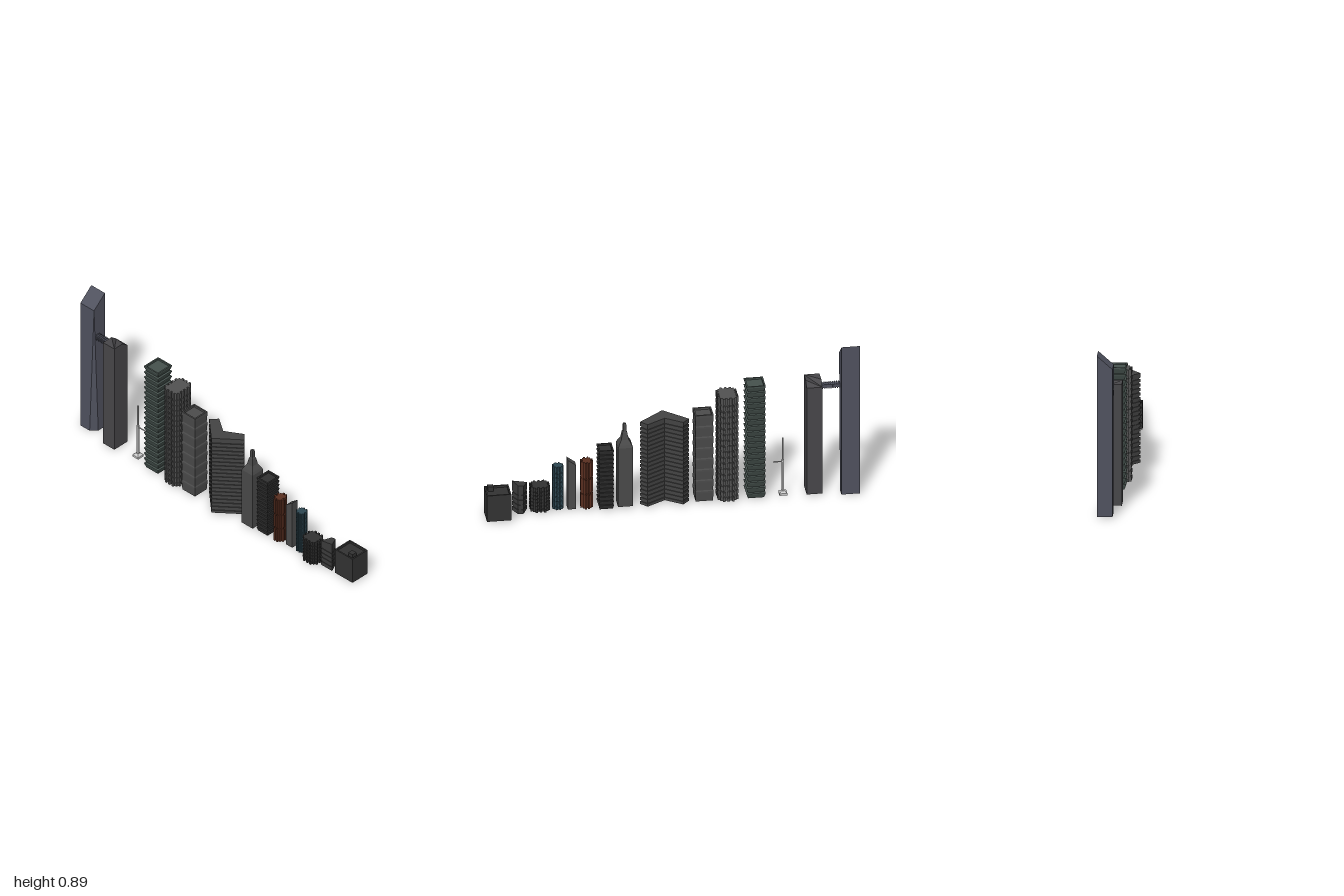
import * as THREE from 'three';
import { ConvexGeometry } from 'three/addons/geometries/ConvexGeometry.js';

// Lofts a plan ([x, z] corners) through rings of [height or height(x, z), inset], flat caps at both ends
function loft(plan, rings) {
  let pts = plan.map(([x, z]) => new THREE.Vector2(x, -z));
  if (THREE.ShapeUtils.isClockWise(pts)) pts = pts.reverse();
  const n = pts.length;
  const normal = (i) => {
    const e = pts[(i + 1) % n].clone().sub(pts[i]).normalize();
    return new THREE.Vector2(-e.y, e.x);
  };
  const miter = pts.map((p, i) => {
    const a = normal((i + n - 1) % n), b = normal(i);
    return a.clone().add(b).divideScalar(1 + a.dot(b));
  });
  const at = ([y, inset], i) => {
    const p = pts[i].clone().addScaledVector(miter[i], inset);
    return [p.x, typeof y === 'function' ? y(p.x, -p.y) : y, -p.y];
  };
  const pos = [];
  for (let k = 0; k + 1 < rings.length; k++) {
    for (let i = 0; i < n; i++) {
      const j = (i + 1) % n;
      const a = at(rings[k], i), b = at(rings[k], j), c = at(rings[k + 1], j), d = at(rings[k + 1], i);
      pos.push(...a, ...b, ...c, ...a, ...c, ...d);
    }
  }
  const last = rings[rings.length - 1];
  for (const [a, b, c] of THREE.ShapeUtils.triangulateShape(pts, [])) {
    pos.push(...at(last, a), ...at(last, b), ...at(last, c));
    pos.push(...at(rings[0], a), ...at(rings[0], c), ...at(rings[0], b));
  }
  const geo = new THREE.BufferGeometry();
  geo.setAttribute('position', new THREE.Float32BufferAttribute(pos, 3));
  geo.computeVertexNormals();
  return geo;
}

const rect = (x0, x1, z0, z1) => [[x0, z0], [x1, z0], [x1, z1], [x0, z1]];

// Rectangle whose sides carry projecting bays
function comb(x0, x1, z0, z1, nx, nz, t) {
  const corners = rect(x0 + t, x1 - t, z0 + t, z1 - t);
  const out = [[0, -1], [1, 0], [0, 1], [-1, 0]];
  const pts = [];
  corners.forEach((a, s) => {
    const b = corners[(s + 1) % 4], m = 2 * (s % 2 ? nz : nx) + 1;
    pts.push(a);
    for (let k = 1; k < m; k++) {
      const x = a[0] + (b[0] - a[0]) * k / m, z = a[1] + (b[1] - a[1]) * k / m;
      const o = [x + out[s][0] * t, z + out[s][1] * t];
      pts.push(...(k % 2 ? [[x, z], o] : [o, [x, z]]));
    }
  });
  return pts;
}

// Floors separated by a recessed joint
function slabs(y0, y1, n, groove, solid = 0.7) {
  const h = (y1 - y0) / n, rings = [];
  for (let k = 0; k < n; k++) {
    const y = y0 + k * h, m = y + h * solid;
    rings.push([y, 0], [m, 0]);
    if (k < n - 1) rings.push([m, groove], [y + h, groove]);
  }
  rings.push([y1, 0]);
  return rings;
}

// Floors that flare outward to a thin edge
function flares(y0, y1, n, g) {
  const h = (y1 - y0) / n, rings = [];
  for (let k = 0; k < n; k++) {
    const y = y0 + k * h;
    rings.push([y, g], [y + h * 0.75, 0], [y + h * 0.9, 0]);
  }
  rings.push([y1, 0]);
  return rings;
}

// Sunken roof behind a parapet
const parapet = (y, t, drop) => [[y, t], [y - drop, t]];

export function createModel() {
  const model = new THREE.Group();
  const add = (name, color, geo, x = 0, y = 0, z = 0) => {
    const mesh = new THREE.Mesh(geo, new THREE.MeshStandardMaterial({ color, flatShading: true }));
    mesh.name = name;
    mesh.position.set(x, y, z);
    model.add(mesh);
    return mesh;
  };
  const box = (w, h, d) => new THREE.BoxGeometry(w, h, d);
  const B = 0.01;

  // Low block with rooftop plant room
  add('lowBlock', 0x333333, loft(rect(-0.02, 0.095, 0.87, 1), [[B, 0], [0.165, 0], ...parapet(0.165, 0.008, 0.012)]));
  add('plantRoom', 0x333333, box(0.03, 0.03, 0.03), 0.01, 0.165, 0.97);

  // Wedge plan block with sloping roof
  const wedgeTop = (x, z) => 0.17 + (z - 0.77) * 0.19;
  add('wedgeBlock', 0x3c3c3c, loft([[-0.02, 0.77], [0.033, 0.795], [0.033, 0.825], [-0.02, 0.85]],
    [...slabs(B, 0.155, 5, 0.003, 0.8), [wedgeTop, 0]]));

  // Short tower with bays on all sides
  add('bayedBlock', 0x333333, loft(comb(-0.06, 0.035, 0.65, 0.755, 3, 3, 0.012), slabs(B, 0.155, 7, 0.003)));

  // Teal tower
  add('tealTower', 0x2e4853, loft(comb(-0.03, 0.03, 0.578, 0.637, 2, 2, 0.008), slabs(0.015, 0.27, 9, 0.0015, 0.6)));

  // Slim slab with slanted roof
  add('slantedTower', 0x4c4c4c, loft(rect(-0.02, 0.022, 0.513, 0.557),
    [[B, 0], [(x, z) => 0.305 - (0.557 - z) * 0.75, 0]]));

  // Brown tower with deep vertical bays
  add('brownTower', 0x5a2f20, loft(comb(-0.04, 0.035, 0.42, 0.487, 2, 2, 0.012), slabs(B, 0.285, 3, 0.003, 0.9)));

  // Dark ribbed tower
  add('ribbedTower', 0x303030, loft(rect(-0.04, 0.05, 0.315, 0.395),
    [...flares(B, 0.36, 14, 0.005), ...parapet(0.36, 0.008, 0.01)]));

  // Stepped tower with tapering crown
  add('spireTower', 0x4a4a4a, loft(rect(-0.045, 0.035, 0.21, 0.29),
    [[B, 0], [0.36, 0], [0.375, 0.006], [0.4, 0.02], [0.438, 0.027], [0.445, 0.031], [0.48, 0.031], [0.49, 0.033]]));

  // Angled twin-wing tower
  add('angledTower', 0x444444, loft(
    [[-0.095, 0.035], [0.02, -0.092], [0.057, -0.055], [-0.005, 0.035], [0.054, 0.135], [0.016, 0.17]],
    slabs(B, 0.502, 20, 0.005, 0.65)));

  // Plain tower with broad bands
  add('bandedTower', 0x4c4c4c, loft(rect(-0.057, 0.038, -0.22, -0.122),
    [...flares(B, 0.525, 8, 0.003), ...parapet(0.525, 0.008, 0.012)]));

  // Tall tower with stacked bays
  add('bayedTower', 0x525252, loft(comb(-0.073, 0.063, -0.353, -0.243, 4, 3, 0.012), slabs(B, 0.625, 18, 0.003, 0.6)));

  // Green tower with flared floors
  add('greenTower', 0x46524e, loft(rect(-0.056, 0.05, -0.497, -0.395),
    [...flares(B, 0.682, 20, 0.009), ...parapet(0.682, 0.008, 0.01)]));

  // Crane mast on a square foot
  const grey = 0xcccccc;
  add('mastFoot', grey, loft(rect(-0.021, 0.021, -0.617, -0.575), [[0, 0], [0.012, 0], [0.02, 0.012]]));
  add('mastLower', grey, box(0.011, 0.19, 0.011), 0, 0.11, -0.596);
  add('mastUpper', grey, box(0.006, 0.13, 0.006), 0, 0.27, -0.596);
  add('mastArm', grey, box(0.005, 0.005, 0.055), 0, 0.195, -0.57);

  // Bridge tower with chamfered roof edge
  add('bridgeTower', 0x48474a, loft(
    [[-0.055, -0.8], [0.01, -0.8], [0.046, -0.8], [0.046, -0.717], [0.01, -0.717], [-0.055, -0.717]],
    [[B, 0], [(x) => 0.677 - Math.max(0, x - 0.01) * 0.8, 0]]));

  // Ribbed sky bridge
  add('skyBridge', 0x50525e, box(0.03, 0.018, 0.11), 0.003, 0.636, -0.85);
  for (let i = 0; i < 9; i++) add('bridgeRib', 0x50525e, box(0.036, 0.024, 0.005), 0.003, 0.636, -0.806 - i * 0.0113);

  // Tallest tower: sloping top, one corner cut away toward the foot
  const points = [];
  for (const z of [-1, -0.9]) {
    points.push(new THREE.Vector3(-0.02, 0.815, z), new THREE.Vector3(0.063, 0.888, z), new THREE.Vector3(0.063, 0.004, z));
  }
  points.push(new THREE.Vector3(-0.02, 0.004, -1), new THREE.Vector3(0.012, 0.004, -0.9), new THREE.Vector3(-0.02, 0.004, -0.932));
  add('tallTower', 0x50525f, new ConvexGeometry(points));

  return model;
}
